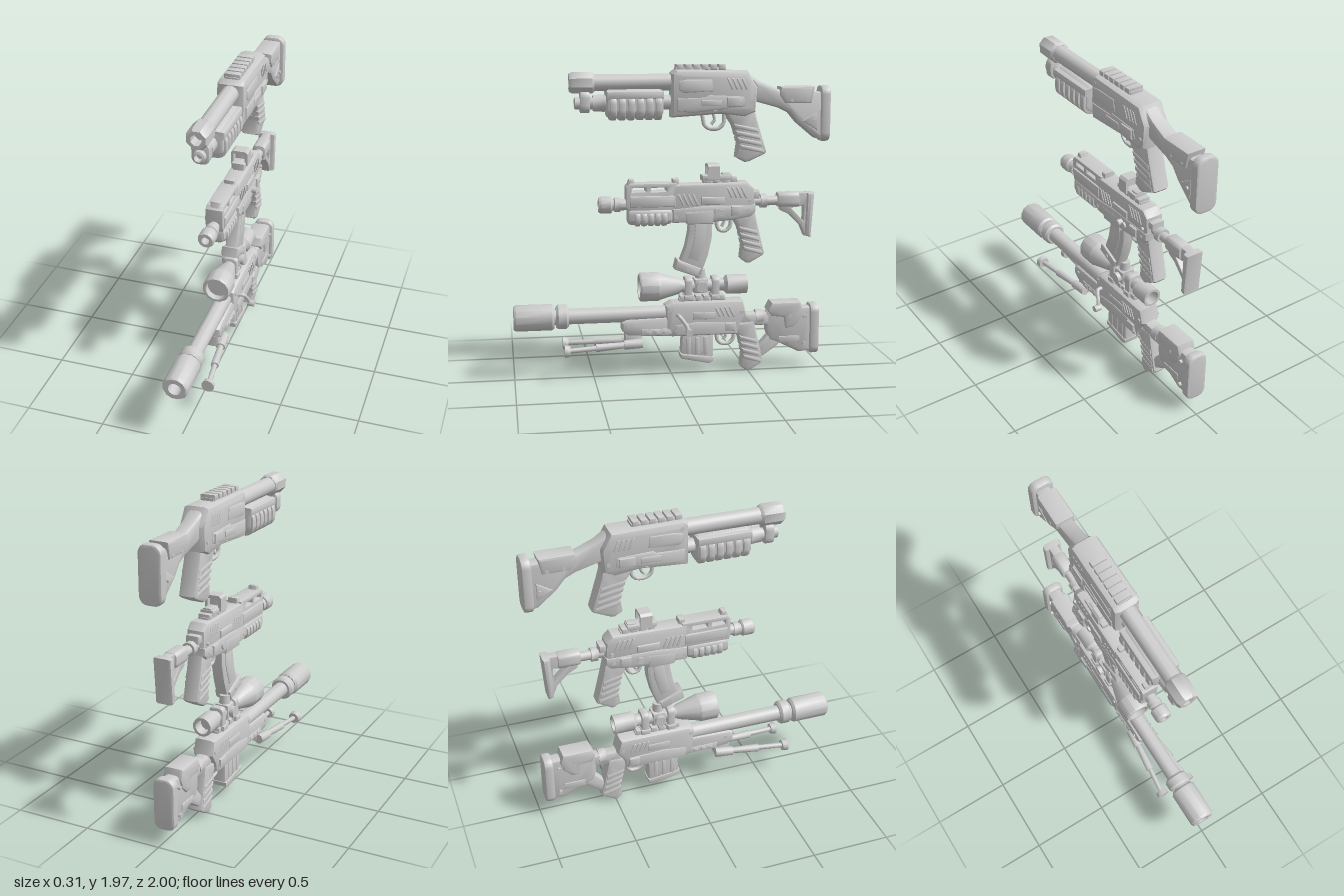
import * as THREE from 'three';
import { toCreasedNormals } from 'three/addons/utils/BufferGeometryUtils.js';

const steel = new THREE.MeshStandardMaterial({ color: 0xcccccc });
steel.name = 'grey';
let gun; // group that receives new parts

function add(name, geo, crease = 0.65) {
  const mesh = new THREE.Mesh(toCreasedNormals(geo, crease), steel);
  mesh.name = name;
  gun.add(mesh);
}
const toPath = (pts, P) => new P(pts.map(p => new THREE.Vector2(p[0], p[1])));

// Side outline [z, y] extruded across x with a bevelled rim
function plate(name, pts, w, { b = 0.012, holes = [] } = {}) {
  const shape = toPath(pts, THREE.Shape);
  shape.holes = holes.map(h => toPath(h, THREE.Path));
  const depth = Math.max(w - 2 * b, 0.002);
  const geo = new THREE.ExtrudeGeometry(shape, {
    depth, bevelEnabled: true, bevelThickness: b, bevelSize: b, bevelOffset: -b, bevelSegments: 2 });
  add(name, geo.translate(0, 0, -depth / 2).rotateY(-Math.PI / 2));
}
const rect = (z0, z1, y0, y1) => [[z0, y0], [z1, y0], [z1, y1], [z0, y1]];
const block = (name, z0, z1, y0, y1, w, o) => plate(name, rect(z0, z1, y0, y1), w, o);

// Round-cornered cross-section (radius r) running along z
function pad(name, z0, z1, y0, y1, w, r, b = 0.01) {
  const s = new THREE.Shape(), h = w / 2 - r, q = Math.PI / 2;
  s.absarc(h, y0 + r, r, -q, 0).absarc(h, y1 - r, r, 0, q).absarc(-h, y1 - r, r, q, 2 * q).absarc(-h, y0 + r, r, 2 * q, 3 * q);
  s.closePath();
  const geo = new THREE.ExtrudeGeometry(s, { depth: z1 - z0 - 2 * b, curveSegments: 5, bevelEnabled: true,
    bevelThickness: b, bevelSize: b, bevelOffset: -b, bevelSegments: 2 });
  add(name, geo.translate(0, 0, z0 + b));
}
// Turned part along z, profile [z, r] from back to front
function turned(name, y, profile, n = 24) {
  const geo = new THREE.LatheGeometry(profile.map(([z, r]) => new THREE.Vector2(r, z)), n);
  add(name, geo.rotateY(Math.PI / n).rotateX(Math.PI / 2).translate(0, y, 0));
}
// Pin or knob across x
function pin(name, z, y, r, w, n = 10, x = 0) {
  add(name, new THREE.CylinderGeometry(r, r, w, n).rotateZ(Math.PI / 2).translate(x, y, z));
}
function rod(name, pts, r) {
  const curve = new THREE.CatmullRomCurve3(pts.map(p => new THREE.Vector3(...p)), false, 'catmullrom', 0.2);
  add(name, new THREE.TubeGeometry(curve, 18, r, 8), 1);
}
// Straight cylinder between two points, closed ends
function leg(name, a, b, r0, r1) {
  const d = new THREE.Vector3(...b).sub(new THREE.Vector3(...a)), len = d.length();
  const geo = new THREE.CylinderGeometry(r1, r0, len, 10).translate(0, len / 2, 0);
  geo.applyQuaternion(new THREE.Quaternion().setFromUnitVectors(new THREE.Vector3(0, 1, 0), d.normalize()));
  add(name, geo.translate(...a));
}
// Raised slanted bars on both sides
function vents(z, y, h, w) {
  for (let i = 0; i < 4; i++) {
    const a = z - i * 0.03;
    plate('ventBar', [[a, y], [a + 0.03, y + h], [a + 0.015, y + h], [a - 0.015, y]], w, { b: 0.004 });
  }
}
// Pistol grip with wrap ribs, hung from its top front corner
function grip(z, y, s, w) {
  const P = (a, b) => [z + a * s, y + b];
  plate('grip', [P(0.02, 0.03), P(-0.14, 0.04), P(-0.155, -0.03), P(-0.182, -0.14), P(-0.205, -0.23), P(-0.195, -0.245),
    P(-0.11, -0.293), P(-0.09, -0.293), P(-0.05, -0.265), P(-0.062, -0.16), P(-0.03, -0.06)], w, { b: 0.02 });
  for (let i = 0; i < 4; i++) {
    const t = -0.07 - i * 0.043, f = -0.032 - i * 0.01, k = -0.157 - i * 0.01;
    plate('gripRib', [P(f, t + 0.02), P(k, t - 0.008), P(k - 0.006, t - 0.042), P(f - 0.006, t - 0.014)], w + 0.01, { b: 0.012 });
  }
}
function trigger(z, y, len, h) {
  rod('triggerGuard', [[0, y + 0.02, z], [0, y - h * 0.7, z - 0.015], [0, y - h, z - len * 0.35],
    [0, y - h, z - len * 0.75], [0, y - h * 0.6, z - len], [0, y + 0.02, z - len]], 0.013);
  rod('trigger', [[0, y + 0.02, z - len * 0.5], [0, y - h * 0.35, z - len * 0.58], [0, y - h * 0.7, z - len * 0.42]], 0.01);
}
function rail(z0, z1, y, w, n) {
  block('railBase', z0, z1, y - 0.02, y + 0.015, w * 0.85, { b: 0.004 });
  const step = (z1 - z0) / n;
  for (let i = 0; i < n; i++) block('railTooth', z0 + i * step + 0.006, z0 + (i + 1) * step - 0.006, y, y + 0.034, w, { b: 0.006 });
}

function shotgun() {
  turned('barrel', 1.865, [[-0.05, 0], [-0.05, 0.052], [0.5, 0.052]]);
  turned('muzzleCollar', 1.865, [[0.48, 0.04], [0.48, 0.058], [0.495, 0.07], [0.615, 0.07], [0.635, 0.058],
    [0.635, 0.035], [0.56, 0.035], [0.56, 0]], 8);
  turned('magazineTube', 1.74, [[0, 0], [0, 0.045], [0.45, 0.045], [0.47, 0.038], [0.6, 0.038], [0.605, 0.025], [0.56, 0.02], [0.56, 0]], 16);
  pad('tubeClamp', 0.51, 0.57, 1.68, 1.82, 0.11, 0.045);
  turned('tubeRing', 1.74, [[0.42, 0.03], [0.42, 0.055], [0.49, 0.05], [0.49, 0.03]], 12);
  // Pump
  pad('pump', 0.06, 0.41, 1.65, 1.825, 0.17, 0.055, 0.02);
  block('pumpTopBand', 0.06, 0.41, 1.765, 1.815, 0.19, { b: 0.016 });
  for (let i = 0; i < 6; i++) pad('pumpRib', 0.07 + i * 0.056, 0.112 + i * 0.056, 1.635, 1.8, 0.2, 0.065, 0.008);
  // Receiver
  plate('receiver', [[0.01, 1.65], [0.01, 1.92], [-0.02, 1.945], [-0.47, 1.935], [-0.5, 1.88], [-0.53, 1.83],
    [-0.52, 1.68], [-0.45, 1.65], [-0.3, 1.67], [-0.15, 1.66]], 0.18, { b: 0.04 });
  plate('sidePanel', [[-0.03, 1.82], [-0.03, 1.875], [-0.08, 1.885], [-0.24, 1.885], [-0.25, 1.81], [-0.06, 1.8]], 0.195);
  plate('lowerPanel', [[-0.02, 1.69], [-0.02, 1.77], [-0.2, 1.775], [-0.22, 1.79], [-0.44, 1.78], [-0.45, 1.72], [-0.3, 1.7], [-0.13, 1.68]], 0.195);
  block('selector', -0.43, -0.33, 1.715, 1.775, 0.215, { b: 0.01 });
  block('shellGate', -0.3, -0.17, 1.72, 1.76, 0.21, { b: 0.01 });
  vents(-0.36, 1.82, 0.07, 0.19);
  for (const [z, y] of [[-0.04, 1.9], [-0.05, 1.7], [-0.26, 1.7], [-0.49, 1.74]]) pin('bolt', z, y, 0.013, 0.18);
  rail(-0.335, -0.02, 1.94, 0.1, 6);
  trigger(-0.19, 1.66, 0.14, 0.085);
  grip(-0.34, 1.66, 1.25, 0.115);
  // Stock
  plate('stock', [[-0.47, 1.92], [-0.55, 1.87], [-0.69, 1.81], [-0.96, 1.8], [-0.96, 1.5], [-0.91, 1.51],
    [-0.79, 1.61], [-0.74, 1.67], [-0.68, 1.7], [-0.5, 1.75]], 0.1, { b: 0.025 });
  plate('cheekRest', [[-0.68, 1.835], [-0.9, 1.835], [-0.88, 1.73], [-0.71, 1.73], [-0.675, 1.78]], 0.13, { b: 0.018 });
  pad('buttPad', -1, -0.94, 1.49, 1.84, 0.15, 0.055, 0.014);
  plate('stockInset', [[-0.82, 1.62], [-0.92, 1.68], [-0.92, 1.56]], 0.112, { b: 0.008 });
  for (const [z, y] of [[-0.75, 1.75], [-0.85, 1.75], [-0.9, 1.62]]) pin('bolt', z, y, 0.011, 0.135);
}

function rifle() {
  turned('barrel', 1.105, [[0, 0], [0, 0.035], [0.4, 0.035]]);
  turned('muzzle', 1.105, [[0.325, 0.03], [0.325, 0.045], [0.36, 0.045], [0.365, 0.036], [0.375, 0.036], [0.375, 0.045],
    [0.385, 0.053], [0.445, 0.053], [0.46, 0.045], [0.46, 0.025], [0.4, 0.025], [0.4, 0]], 12);
  // Handguard with open slots
  plate('handguard', [[-0.03, 1.07], [0.28, 1.07], [0.29, 1.1], [0.29, 1.22], [0.27, 1.24], [-0.03, 1.24]], 0.11,
    { b: 0.006, holes: [rect(0.165, 0.255, 1.188, 1.214), rect(0.035, 0.135, 1.188, 1.214)] });
  block('handguardBand', -0.02, 0.27, 1.09, 1.165, 0.14, { b: 0.02 });
  pad('foregrip', 0, 0.28, 0.98, 1.09, 0.125, 0.04, 0.02);
  for (let i = 0; i < 5; i++) pad('foregripRib', 0.035 + i * 0.042, 0.067 + i * 0.042, 0.97, 1.07, 0.145, 0.045, 0.006);
  plate('frontSight', [[0.23, 1.23], [0.28, 1.23], [0.27, 1.265], [0.24, 1.265]], 0.06, { b: 0.008 });
  block('rearPost', -0.045, -0.005, 1.22, 1.265, 0.07, { b: 0.01 });
  // Receiver
  plate('upperReceiver', [[0, 1.06], [0, 1.23], [-0.48, 1.24], [-0.52, 1.2], [-0.53, 1.06]], 0.125, { b: 0.022 });
  plate('lowerReceiver', [[0, 0.99], [0, 1.08], [-0.2, 1.1], [-0.53, 1.1], [-0.53, 1.05], [-0.5, 1.02], [-0.38, 1.0], [-0.26, 0.99]], 0.145, { b: 0.022 });
  block('ejectionPort', -0.33, -0.18, 1.1, 1.15, 0.15);
  plate('magWell', [[-0.09, 0.98], [-0.07, 1.06], [-0.26, 1.07], [-0.26, 0.98]], 0.155, { b: 0.014 });
  block('selector', -0.44, -0.37, 1.03, 1.09, 0.17, { b: 0.01 });
  pin('sideButton', -0.31, 1.05, 0.022, 0.17);
  pin('boltKnob', -0.28, 1.06, 0.02, 0.05, 10, 0.08);
  vents(-0.06, 1.1, 0.07, 0.137);
  vents(-0.37, 1.14, 0.07, 0.137);
  for (const [z, y] of [[-0.02, 1.03], [-0.49, 1.12], [-0.48, 1.06]]) pin('bolt', z, y, 0.012, 0.152);
  block('chargingHandle', -0.56, -0.5, 1.13, 1.18, 0.09);
  // Reflex sight with open window
  rail(-0.42, -0.2, 1.235, 0.08, 4);
  block('sightBase', -0.38, -0.19, 1.25, 1.285, 0.09);
  const frame = toPath([[-0.055, 1.26], [0.055, 1.26], [0.055, 1.34], [0.04, 1.355], [-0.04, 1.355], [-0.055, 1.34]], THREE.Shape);
  frame.holes = [toPath(rect(-0.036, 0.036, 1.285, 1.335), THREE.Path)];
  add('sightFrame', new THREE.ExtrudeGeometry(frame, { depth: 0.075, bevelEnabled: false }).translate(0, 0, -0.3));
  block('sightLens', -0.27, -0.265, 1.27, 1.34, 0.085, { b: 0.001 });
  block('sightEmitter', -0.375, -0.32, 1.27, 1.295, 0.06, { b: 0.008 });
  // Curved magazine
  plate('magazine', [[-0.11, 1.02], [-0.26, 1.02], [-0.255, 0.88], [-0.23, 0.77], [-0.185, 0.65], [-0.04, 0.71], [-0.085, 0.83], [-0.105, 0.93]], 0.08, { b: 0.014 });
  plate('magazineRib', [[-0.15, 0.98], [-0.22, 0.98], [-0.215, 0.88], [-0.17, 0.74], [-0.1, 0.76], [-0.135, 0.86]], 0.092, { b: 0.008 });
  plate('magazineFoot', [[-0.03, 0.755], [-0.185, 0.69], [-0.165, 0.635], [-0.015, 0.69]], 0.115, { b: 0.016 });
  pin('bolt', -0.1, 0.69, 0.012, 0.125);
  trigger(-0.28, 1.01, 0.1, 0.085);
  grip(-0.39, 1.01, 1, 0.105);
  // Skeleton stock
  turned('bufferTube', 1.11, [[-0.82, 0], [-0.82, 0.03], [-0.52, 0.03]], 16);
  turned('bufferNut', 1.11, [[-0.61, 0.02], [-0.61, 0.045], [-0.57, 0.045], [-0.57, 0.02]], 10);
  pad('stockSleeve', -0.82, -0.68, 1.07, 1.165, 0.09, 0.03);
  plate('stockFrame', [[-0.68, 1.16], [-0.9, 1.16], [-0.89, 0.88], [-0.86, 0.88], [-0.83, 0.95], [-0.76, 1.02], [-0.7, 1.05]], 0.06,
    { b: 0.008, holes: [[[-0.77, 1.065], [-0.85, 1.075], [-0.85, 0.98]]] });
  plate('buttPad', [[-0.87, 1.16], [-0.915, 1.16], [-0.895, 0.875], [-0.86, 0.885]], 0.12, { b: 0.018 });
}

function sniper() {
  const Y = 0.395;
  turned('barrel', Y, [[-0.02, 0], [-0.02, 0.05], [0.76, 0.05]]);
  turned('barrelRing', Y, [[0.655, 0.045], [0.655, 0.065], [0.67, 0.078], [0.72, 0.078], [0.735, 0.065], [0.735, 0.045]], 16);
  turned('suppressor', Y, [[0.745, 0.045], [0.745, 0.07], [0.76, 0.083], [0.985, 0.083], [1, 0.072], [1, 0.042], [0.9, 0.042], [0.9, 0]], 12);
  // Fore-end
  plate('foreEnd', [[-0.05, 0.25], [0.28, 0.265], [0.32, 0.3], [0.32, 0.35], [0.29, 0.37], [-0.05, 0.38]], 0.13, { b: 0.025 });
  block('foreEndPanel', 0, 0.2, 0.265, 0.31, 0.145);
  for (const z of [0.05, 0.1, 0.15]) block('foreEndSlot', z - 0.015, z + 0.015, 0.275, 0.3, 0.155, { b: 0.005 });
  for (const z of [0.26, 0.0]) pin('bolt', z, 0.335, 0.013, 0.14);
  // Receiver
  plate('receiver', [[0.04, 0.3], [0.04, 0.45], [0, 0.475], [-0.46, 0.475], [-0.485, 0.38], [-0.44, 0.31], [-0.43, 0.25], [0, 0.25]], 0.15, { b: 0.032 });
  plate('lowerPanel', [[-0.02, 0.26], [-0.02, 0.33], [-0.17, 0.35], [-0.41, 0.34], [-0.42, 0.26]], 0.165, { b: 0.014 });
  block('ejectionPort', -0.28, -0.13, 0.36, 0.41, 0.165);
  block('selector', -0.41, -0.34, 0.28, 0.335, 0.18, { b: 0.01 });
  vents(-0.3, 0.375, 0.065, 0.162);
  for (const [z, y] of [[0.01, 0.43], [-0.03, 0.29], [-0.45, 0.4]]) pin('bolt', z, y, 0.013, 0.155);
  rod('boltHandle', [[0.04, 0.39, -0.03], [0.11, 0.395, -0.04], [0.13, 0.34, -0.08], [0.14, 0.31, -0.09]], 0.013);
  pin('boltHandleKnob', -0.095, 0.3, 0.022, 0.045, 10, 0.15);
  // Scope
  rail(-0.35, -0.05, 0.475, 0.08, 6);
  turned('scope', 0.57, [[-0.42, 0], [-0.42, 0.045], [-0.49, 0.045], [-0.49, 0.062], [-0.36, 0.062], [-0.34, 0.04], [-0.07, 0.04],
    [-0.05, 0.052], [0.07, 0.085], [0.085, 0.092], [0.195, 0.092], [0.205, 0.085], [0.205, 0.07], [0.16, 0.07], [0.16, 0]], 12);
  for (const z of [-0.11, -0.285]) {
    pad('scopeMount', z - 0.025, z + 0.025, 0.48, 0.63, 0.1, 0.03);
    block('mountFoot', z - 0.03, z + 0.03, 0.48, 0.515, 0.12, { b: 0.01 });
  }
  block('turretHousing', -0.235, -0.145, 0.525, 0.62, 0.1, { b: 0.02 });
  pin('sideTurret', -0.19, 0.57, 0.035, 0.15, 12);
  add('topTurret', new THREE.CylinderGeometry(0.032, 0.035, 0.07, 12).translate(0, 0.64, -0.19));
  // Magazine
  plate('magazine', [[-0.07, 0.28], [-0.27, 0.28], [-0.27, 0.085], [-0.24, 0.065], [-0.06, 0.105]], 0.09, { b: 0.014 });
  for (const z of [-0.11, -0.165, -0.22]) block('magazineRib', z - 0.014, z + 0.014, 0.125, 0.24, 0.1, { b: 0.006 });
  plate('magazineFoot', [[-0.055, 0.135], [-0.275, 0.105], [-0.27, 0.075], [-0.24, 0.062], [-0.06, 0.1]], 0.105, { b: 0.01 });
  trigger(-0.29, 0.26, 0.12, 0.08);
  grip(-0.405, 0.293, 0.95, 0.105);
  // Bipod folded forward
  block('bipodMount', 0.19, 0.3, 0.2, 0.28, 0.09, { b: 0.015 });
  for (const s of [-1, 1]) {
    const at = t => [s * (0.055 + 0.045 * t), 0.215 - 0.02 * t, 0.22 + 0.45 * t];
    leg('bipodHinge', at(-0.06), at(0.2), 0.032, 0.03);
    leg('bipodUpperLeg', at(0.18), at(0.6), 0.02, 0.026);
    leg('bipodLowerLeg', at(0.55), at(1), 0.016, 0.016);
    add('bipodFoot', new THREE.CylinderGeometry(0.042, 0.036, 0.035, 10).rotateX(Math.PI / 2).translate(s * 0.1, 0.195, 0.67));
  }
  // Stock
  plate('stockNeck', [[-0.44, 0.4], [-0.5, 0.38], [-0.66, 0.38], [-0.66, 0.3], [-0.53, 0.3], [-0.45, 0.27]], 0.09, { b: 0.02 });
  turned('stockJoint', 0.345, [[-0.6, 0.03], [-0.6, 0.052], [-0.55, 0.052], [-0.55, 0.03]], 10);
  plate('stockBody', [[-0.62, 0.38], [-0.66, 0.42], [-0.92, 0.41], [-0.92, 0.12], [-0.84, 0.11], [-0.72, 0.17], [-0.64, 0.2], [-0.62, 0.26]], 0.1, { b: 0.025 });
  plate('cheekRest', [[-0.625, 0.4], [-0.65, 0.45], [-0.84, 0.45], [-0.86, 0.39], [-0.84, 0.33], [-0.79, 0.28], [-0.74, 0.28], [-0.73, 0.35], [-0.65, 0.36]], 0.13, { b: 0.018 });
  pad('buttPad', -0.965, -0.905, 0.1, 0.43, 0.14, 0.05, 0.014);
  block('stockInset', -0.84, -0.7, 0.18, 0.225, 0.112, { b: 0.008 });
  plate('stockStrut', [[-0.54, 0.13], [-0.64, 0.24], [-0.72, 0.2], [-0.7, 0.16], [-0.6, 0.09], [-0.57, 0.07]], 0.075, { b: 0.016 });
  for (const [z, y] of [[-0.77, 0.36], [-0.87, 0.35], [-0.87, 0.17]]) pin('bolt', z, y, 0.013, 0.135);
}

export function createModel() {
  const model = new THREE.Group();
  for (const [name, build, x] of [['shotgun', shotgun, 0.013], ['rifle', rifle, 0], ['sniperRifle', sniper, -0.02]]) {
    gun = new THREE.Group();
    gun.name = name;
    gun.position.x = x;
    build();
    model.add(gun);
  }
  return model;
}
